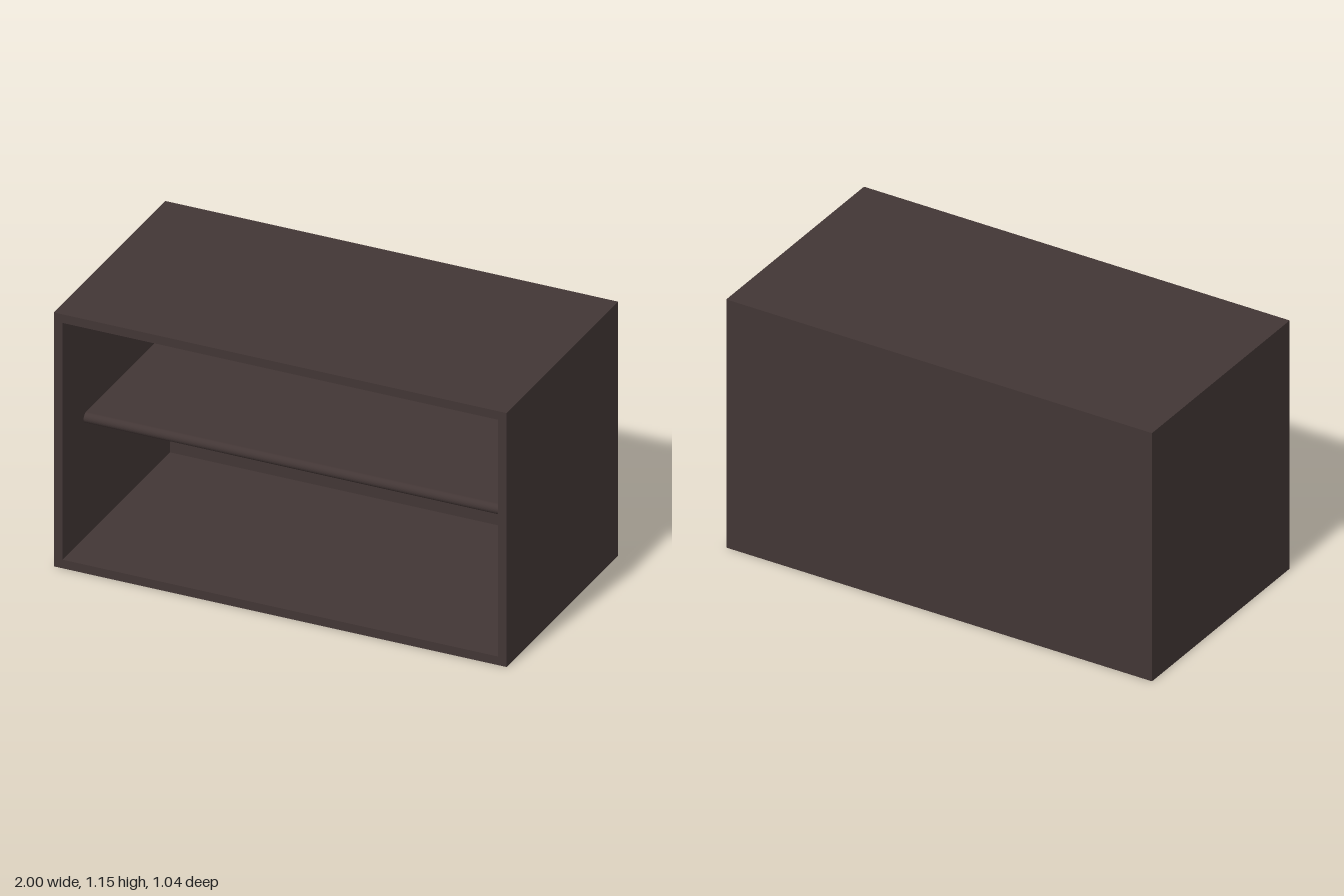
import * as THREE from 'three';

export function createModel() {
  const group = new THREE.Group();
  const wood = new THREE.MeshStandardMaterial({ color: 0x423635 });
  wood.name = 'dark brown wood';

  const W = 2, H = 1.15, D = 1.044, T = 0.039; // outer size and panel thickness
  const add = (name, geometry, x, y, z) => {
    const mesh = new THREE.Mesh(geometry, wood);
    mesh.name = name;
    mesh.position.set(x, y, z);
    group.add(mesh);
  };

  // Rectangle with corners (x0, y0) and (x1, y1)
  const rect = (path, x0, y0, x1, y1) =>
    path.moveTo(x0, y0).lineTo(x1, y0).lineTo(x1, y1).lineTo(x0, y1).closePath();

  // Top, bottom and sides as one open frame
  const frame = rect(new THREE.Shape(), -W / 2, 0, W / 2, H);
  frame.holes.push(rect(new THREE.Path(), -W / 2 + T, T, W / 2 - T, H - T));
  add('cabinetFrame', new THREE.ExtrudeGeometry(frame, { depth: D, bevelEnabled: false }), 0, 0, -D / 2);

  // Back panel, flush with the rear of the frame
  add('backPanel', new THREE.BoxGeometry(W - 2 * T, H - 2 * T, T), 0, H / 2, -D / 2 + T / 2);

  // Shelf with a half-round front edge, profiled in depth and height, extruded across
  const r = 0.0225, back = -D / 2 + T, front = 0.325 - r;
  const profile = new THREE.Shape();
  profile.moveTo(-back, r);
  profile.lineTo(-front, r);
  profile.absarc(-front, 0, r, Math.PI / 2, Math.PI * 1.5, false);
  profile.lineTo(-back, -r);
  profile.closePath();
  const shelf = new THREE.ExtrudeGeometry(profile, { depth: W - 2 * T, bevelEnabled: false, curveSegments: 12 });
  shelf.rotateY(Math.PI / 2);
  add('shelf', shelf, -W / 2 + T, 0.58, 0);

  return group;
}
